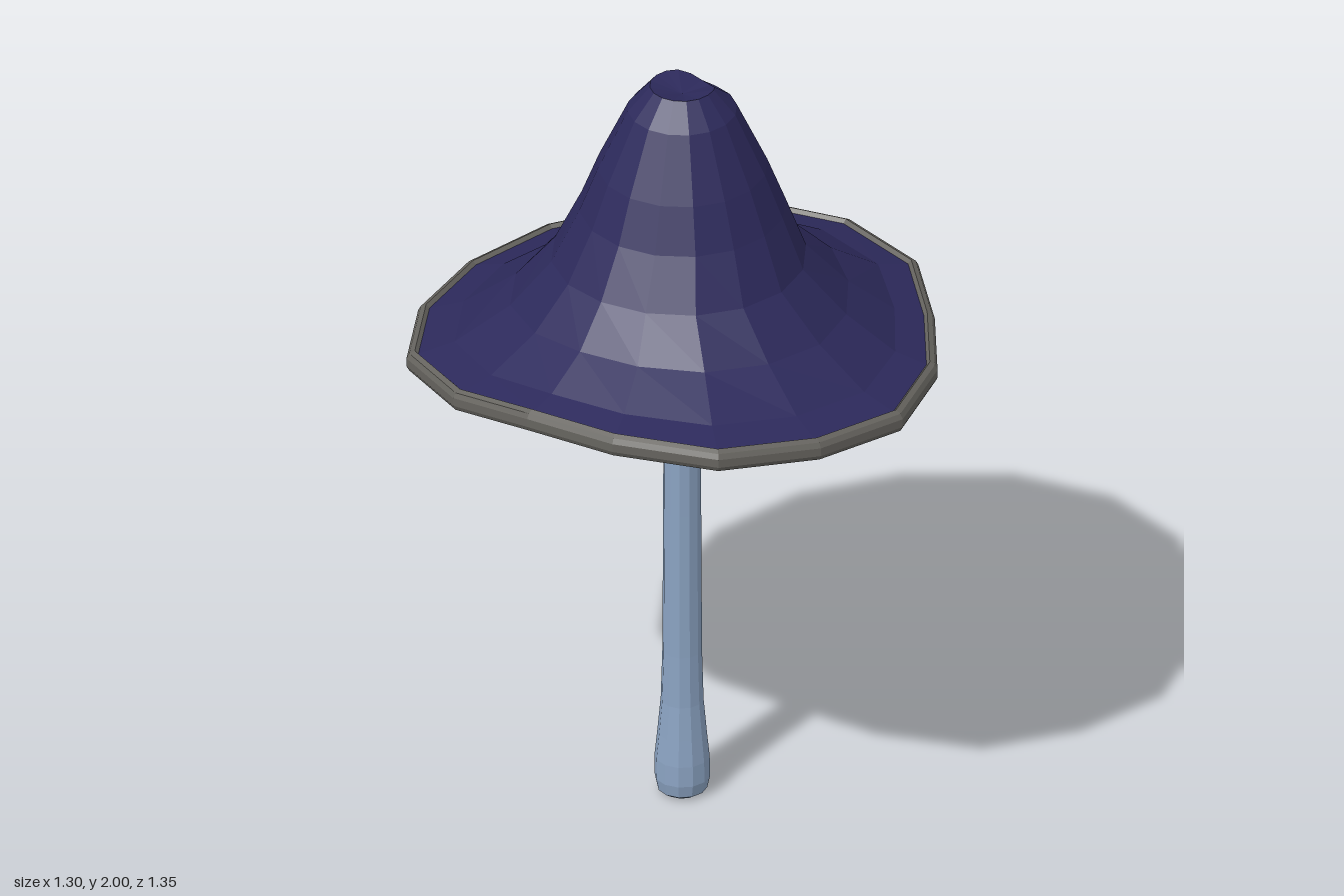
import * as THREE from 'three';

// Brim outline: radius and height every 22.5 degrees, starting at the back and turning towards +x
const RIM_R = [0.665, 0.668, 0.672, 0.672, 0.675, 0.665, 0.622, 0.646, 0.68, 0.68, 0.695, 0.652, 0.62, 0.645, 0.679, 0.668];
const RIM_Y = [1.24, 1.245, 1.255, 1.275, 1.285, 1.285, 1.28, 1.28, 1.285, 1.305, 1.33, 1.34, 1.33, 1.29, 1.265, 1.248];
const SIDES = RIM_R.length;
const MEAN_R = 0.66, MEAN_Y = 1.285;

// A ring is [radius, height, how much it follows the brim outline, sideways shift, notch depth]
function ringPoints([r, y, follow, shift = 0, notch = 0]) {
  return RIM_R.map((rimR, i) => {
    const a = (i / SIDES) * Math.PI * 2;
    const radius = r + follow * (rimR - MEAN_R) * (r / MEAN_R);
    const dip = notch * Math.max(0, Math.sin(a - 0.2)) ** 4;
    return [Math.sin(a) * radius + shift, y + follow * (RIM_Y[i] - MEAN_Y) - dip, -Math.cos(a) * radius];
  });
}

// Skin a list of rings; the outside is on the left when walking from the top outward and down
function skin(name, rings, color) {
  const positions = rings.flatMap((ring) => ringPoints(ring).flat());
  const index = [];
  for (let k = 0; k < rings.length - 1; k++) {
    for (let i = 0; i < SIDES; i++) {
      const j = (i + 1) % SIDES;
      const a = k * SIDES + i, b = k * SIDES + j;
      const c = a + SIDES, d = b + SIDES;
      if (rings[k][0] > 0) index.push(a, b, c);
      if (rings[k + 1][0] > 0) index.push(b, d, c);
    }
  }
  const indexed = new THREE.BufferGeometry();
  indexed.setAttribute('position', new THREE.Float32BufferAttribute(positions, 3));
  indexed.setIndex(index);
  const geometry = indexed.toNonIndexed();
  geometry.computeVertexNormals();
  return part(name, geometry, color);
}

function part(name, geometry, color) {
  const material = new THREE.MeshStandardMaterial({ color, flatShading: true });
  const mesh = new THREE.Mesh(geometry, material);
  mesh.name = name;
  return mesh;
}

export function createModel() {
  const model = new THREE.Group();
  model.name = 'mushroom';

  // Bell-shaped cap with a dented tip
  const cap = skin('cap', [
    [0, 1.975, 0],
    [0.08, 2.0, 0, 0, 0.025],
    [0.135, 1.935, 0],
    [0.21, 1.775, 0],
    [0.255, 1.66, 0],
    [0.315, 1.53, 0.1, -0.012],
    [0.42, 1.415, 0.4],
    [0.55, 1.33, 0.8],
    [0.635, 1.305, 1],
  ], 0x2d2a5c);

  // Rounded grey band around the brim
  const rim = skin('rim', [
    [0.63, 1.302, 1],
    [0.642, 1.315, 1],
    [0.655, 1.308, 1],
    [0.662, 1.295, 1],
    [0.662, 1.273, 1],
    [0.655, 1.26, 1],
    [0.635, 1.254, 1],
  ], 0x66645f);

  // Hollow underside
  const underside = skin('underside', [
    [0.645, 1.256, 1],
    [0.62, 1.252, 1],
    [0.535, 1.295, 0.8],
    [0.405, 1.385, 0.4],
    [0.29, 1.51, 0.1],
    [0.225, 1.66, 0],
    [0.18, 1.77, 0],
    [0.1, 1.9, 0],
    [0, 1.94, 0],
  ], 0x6cb0cc);

  // Slender stem with a swollen foot
  const stemProfile = [
    [0, 0], [0.045, 0], [0.062, 0.012], [0.069, 0.045], [0.068, 0.1],
    [0.061, 0.17], [0.053, 0.26], [0.049, 0.4], [0.047, 0.8], [0.046, 1.3], [0.04, 1.92],
  ].map(([r, y]) => new THREE.Vector2(r, y));
  const stem = part('stem', new THREE.LatheGeometry(stemProfile, 12), 0x8ba3c2);

  model.add(cap, rim, underside, stem);
  // Offset the stem axis so the uneven cap is centred
  for (const mesh of model.children) mesh.position.set(-0.03, 0, -0.008);
  return model;
}
